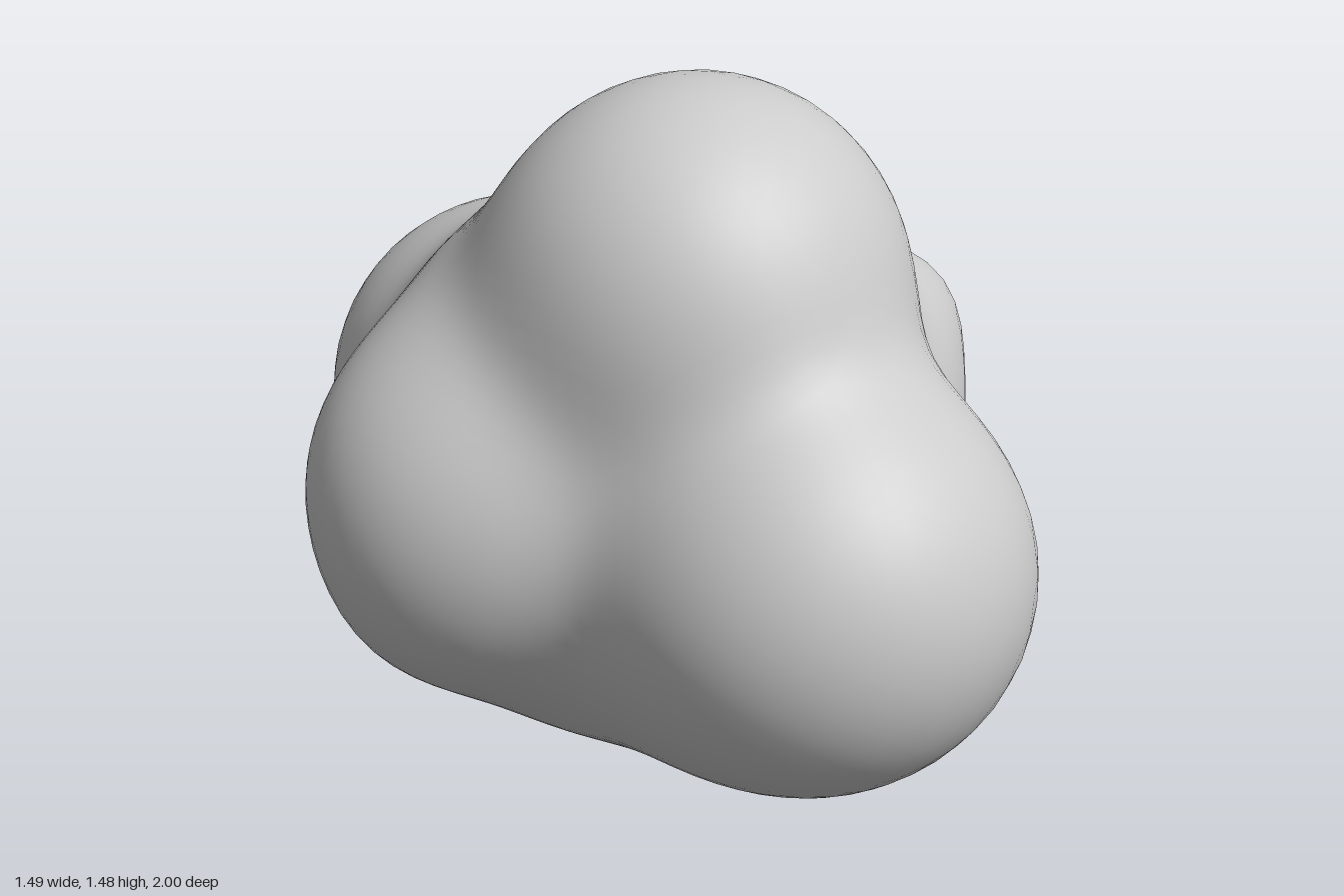
import * as THREE from 'three';
import { mergeVertices } from 'three/addons/utils/BufferGeometryUtils.js';

// Lobes that melt together: [x, y, z, radius]
const LOBES = [
  [0, 0.5, 0, 0.492],          // belly
  [0.055, 0.56, 0.573, 0.425], // front
  [0.03, 0.555, -0.578, 0.42], // back
  [0, 0.42, 0.4, 0.28],        // underside, front
  [0, 0.42, -0.4, 0.28],       // underside, back
  [0, 1.063, 0.2, 0.42],       // top
  [0, 0.74, -0.1, 0.43],       // ridge from top to back
  [-0.367, 0.63, -0.01, 0.36], // right side
  [0.36, 0.63, -0.01, 0.36],   // left side
  [-0.48, 0.45, 0, 0.14],      // right side, low
  [0.48, 0.45, 0, 0.14],       // left side, low
  [0.6, 0.82, 0.05, 0.08],     // shoulder of the left side
];
const BLEND = 0.08;
const CENTRE = new THREE.Vector3(0, 0.6, 0);

// Smooth union of the lobes: negative inside, positive outside
function distance(p) {
  let sum = 0;
  for (const [x, y, z, r] of LOBES) {
    sum += Math.exp((r - Math.hypot(p.x - x, p.y - y, p.z - z)) / BLEND);
  }
  return -BLEND * Math.log(sum);
}

// Walk inward along a ray from outside until the surface is met
function project(dir) {
  const p = new THREE.Vector3();
  let t = 2;
  for (let i = 0; i < 100; i++) {
    const d = distance(p.copy(dir).multiplyScalar(t).add(CENTRE));
    if (d < 0.0005) break;
    t -= d * 0.9;
  }
  return p;
}

export function createModel() {
  // Evenly divided ball, pushed onto the blended surface
  let geo = new THREE.IcosahedronGeometry(1, 18);
  geo.deleteAttribute('uv');
  geo.deleteAttribute('normal');
  geo = mergeVertices(geo, 1e-4);
  const pos = geo.attributes.position;
  const dir = new THREE.Vector3();
  for (let i = 0; i < pos.count; i++) {
    const p = project(dir.fromBufferAttribute(pos, i).normalize());
    pos.setXYZ(i, p.x, p.y, p.z);
  }
  geo.computeVertexNormals();

  const body = new THREE.Mesh(geo, new THREE.MeshStandardMaterial({ color: 0xcccccc }));
  body.name = 'lobedBody';
  const model = new THREE.Group();
  model.name = 'blob';
  model.add(body);
  return model;
}
